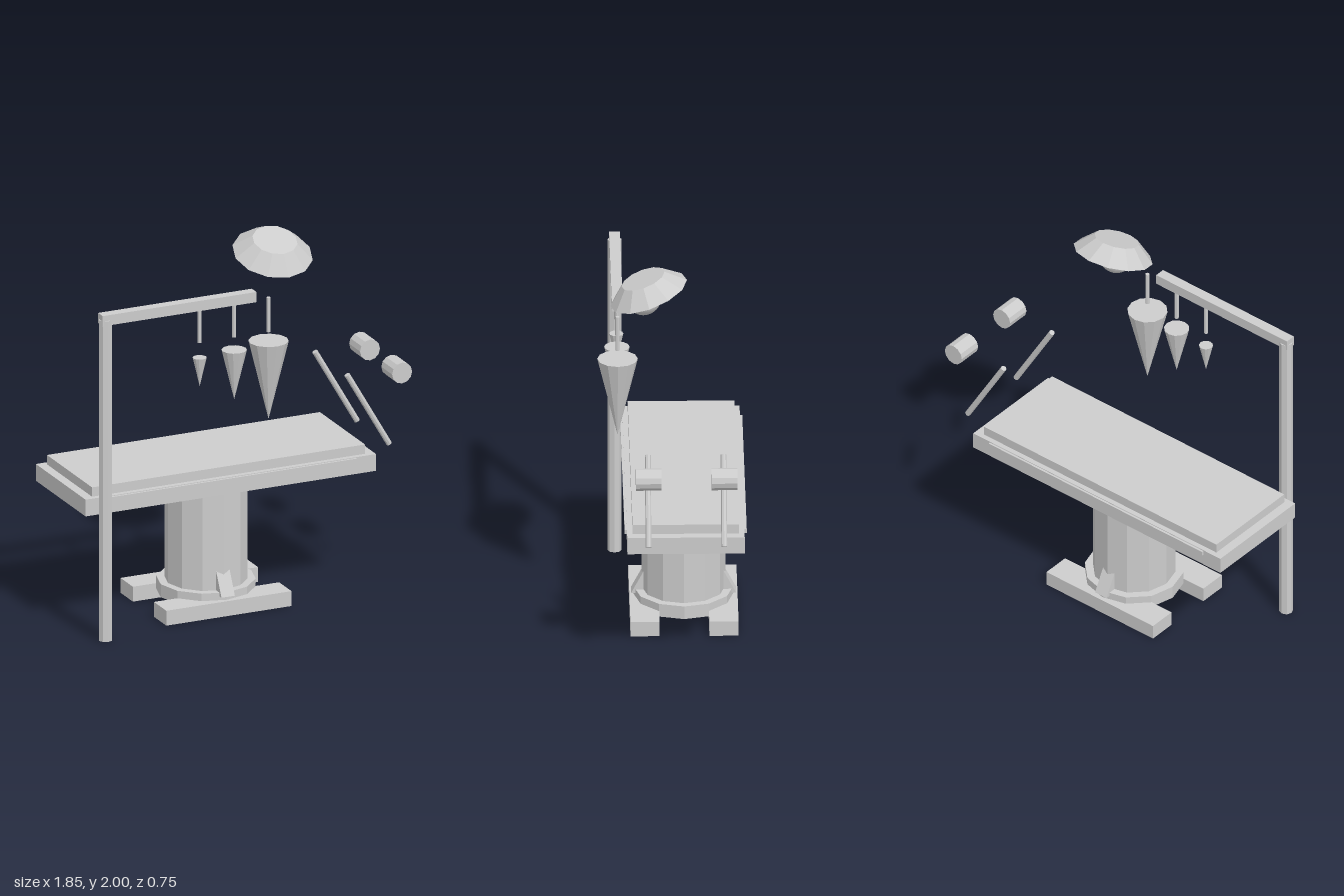
import * as THREE from 'three';

export function createModel() {
  const model = new THREE.Group();
  const grey = new THREE.MeshStandardMaterial({ color: 0xcccccc });
  grey.name = 'light grey';

  const add = (name, geometry, x, y, z) => {
    const mesh = new THREE.Mesh(geometry, grey);
    mesh.name = name;
    mesh.position.set(x, y, z);
    model.add(mesh);
    return mesh;
  };
  const box = (name, w, h, d, x, y, z) => add(name, new THREE.BoxGeometry(w, h, d), x, y, z);
  // Faceted cylinder or cone, standing from y0 to y1
  const faceted = (rTop, rBottom, h, sides) => {
    const g = new THREE.CylinderGeometry(rTop, rBottom, h, sides).toNonIndexed();
    g.computeVertexNormals();
    return g;
  };
  const post = (name, rTop, rBottom, y0, y1, sides, x, z) =>
    add(name, faceted(rTop, rBottom, y1 - y0, sides), x, (y0 + y1) / 2, z);

  const CX = -0.112, CZ = -0.065; // table centre

  // Table top, mattress and side rails
  box('tableTop', 1.625, 0.09, 0.595, CX, 0.71, CZ);
  box('mattress', 1.527, 0.05, 0.54, CX, 0.78, CZ);
  for (const s of [1, -1]) box('sideRail', 1.405, 0.023, 0.025, CX, 0.74, CZ + s * 0.297);

  // Pedestal column, collar, feet and wedge braces
  post('column', 0.212, 0.212, 0.035, 0.645, 12, CX, CZ);
  post('collar', 0.253, 0.253, 0.05, 0.12, 12, CX, CZ);
  const wedge = new THREE.Shape([
    new THREE.Vector2(0.17, 0.1), new THREE.Vector2(0.266, 0.1), new THREE.Vector2(0.2, 0.225), new THREE.Vector2(0.17, 0.225),
  ]);
  const wedgeGeometry = new THREE.ExtrudeGeometry(wedge, { depth: 0.075, bevelEnabled: false });
  wedgeGeometry.translate(0, 0, -0.0375);
  for (const s of [1, -1]) {
    box('foot', 0.7, 0.08, 0.148, CX, 0.04, CZ + s * 0.2);
    add('wedgeBrace', wedgeGeometry, CX, 0, CZ).rotation.y = -s * Math.PI / 2;
  }

  // Stand with overhead boom
  const SZ = 0.272;
  post('standPole', 0.036, 0.036, 0, 1.725, 8, -0.832, SZ);
  box('boom', 0.86, 0.055, 0.055, -0.43, 1.727, SZ);

  // Hanging rods and inverted cones: x, top radius, top, tip
  for (const [x, r, top, tip] of [
    [-0.305, 0.036, 1.44, 1.285],
    [-0.112, 0.065, 1.453, 1.185],
    [0.08, 0.103, 1.473, 1.05],
  ]) {
    post('hangingRod', 0.011, 0.011, 1.52, 1.705, 8, x, SZ);
    post('hangingCone', r, 0, tip, top, 12, x, SZ);
  }

  // Tilted lamp shade and bulb
  const shade = add('lampShade', faceted(0.116, 0.207, 0.083, 12), 0.176, 1.919, 0.13);
  shade.rotation.x = 0.353;
  add('lampBulb', new THREE.SphereGeometry(0.092, 20, 14), 0.176, 1.857, 0.143);

  // Leg supports: slanted rods and pads
  for (const s of [1, -1]) {
    const z = CZ + s * 0.192;
    const rod = add('supportRod', faceted(0.015, 0.015, 0.47, 8), 0.705, 0.962, z);
    rod.rotation.z = Math.atan2(0.236, 0.407);
    const pad = add('supportPad', faceted(0.056, 0.056, 0.13, 12), 0.865, 1.153, z);
    pad.rotation.x = Math.PI / 2;
  }
  return model;
}
